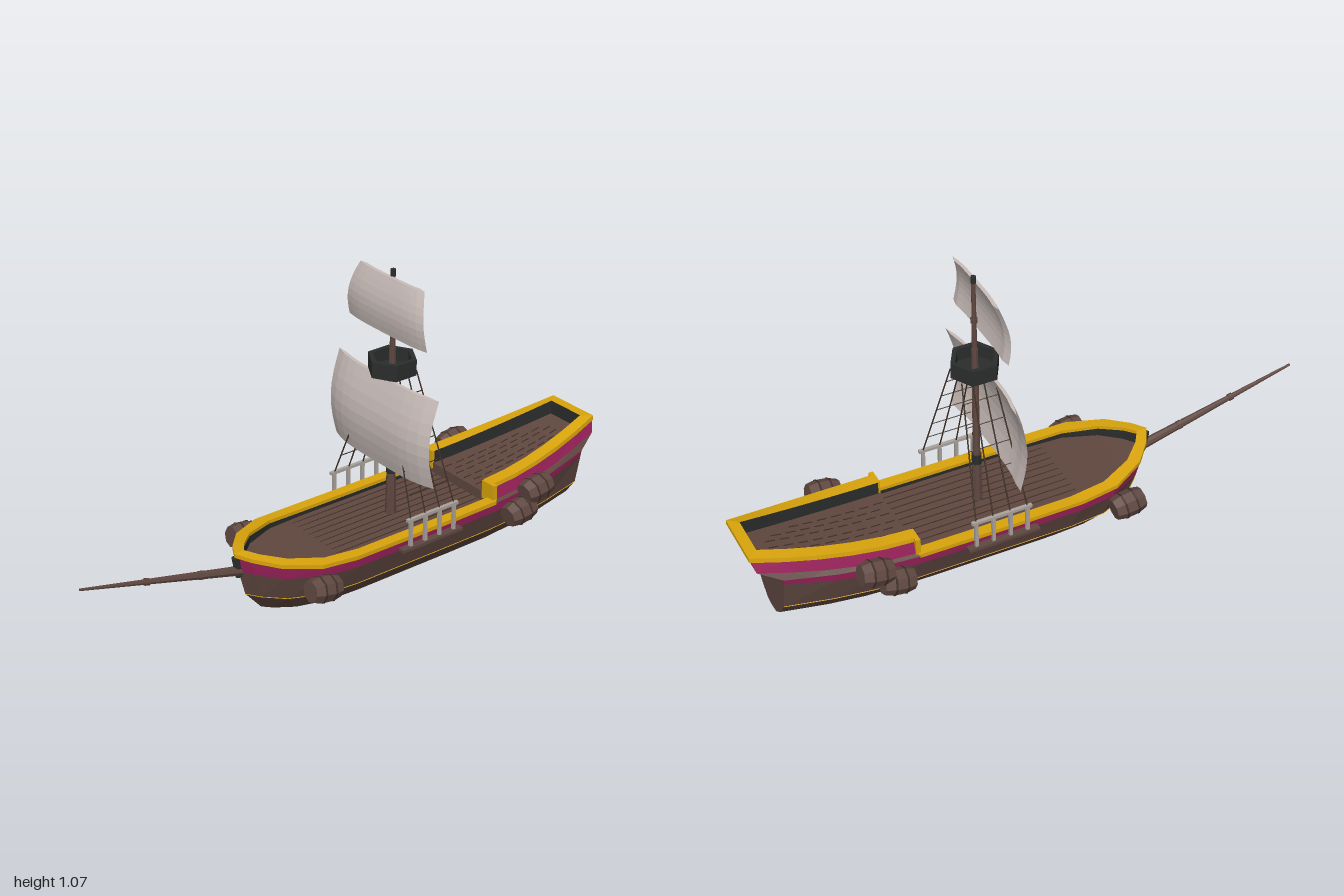
import * as THREE from 'three';

const mat = (name, color) => {
  const m = new THREE.MeshStandardMaterial({ color, flatShading: true, side: THREE.DoubleSide });
  m.name = name;
  return m;
};

export function createModel() {
  const ship = new THREE.Group();
  ship.name = 'sailingShip';
  const wood = mat('hullWood', 0x5f4740), deckWood = mat('deckWood', 0x5f473e), dark = mat('charcoal', 0x2b2d2d);
  const gold = mat('goldTrim', 0xd9a40c), crimson = mat('crimsonBand', 0x99215a), cloth = mat('sailCloth', 0xc9bdb9);
  const pale = mat('paleRail', 0xaaa39e), rope = mat('rope', 0x3b2d22), seam = mat('plankSeam', 0x3f2e29);

  const add = (name, geo, material, x = 0, y = 0, z = 0, parent = ship) => {
    const m = new THREE.Mesh(geo, material);
    m.name = name;
    m.position.set(x, y, z);
    parent.add(m);
    return m;
  };
  const box = (name, material, w, h, d, x, y, z) => add(name, new THREE.BoxGeometry(w, h, d), material, x, y, z);
  const lerp = THREE.MathUtils.lerp;

  // Skin a list of equally long point rows
  const skin = (name, rows, material) => {
    const pos = rows.flat(2), n = rows[0].length, index = [];
    for (let j = 0; j < rows.length - 1; j++) for (let i = 0; i < n - 1; i++) {
      const a = j * n + i, b = a + 1, c = a + n, d = c + 1;
      index.push(a, b, d, a, d, c);
    }
    const g = new THREE.BufferGeometry();
    g.setAttribute('position', new THREE.Float32BufferAttribute(pos, 3));
    g.setIndex(index);
    const flat = g.toNonIndexed();
    flat.computeVertexNormals();
    return add(name, flat, material);
  };
  // Tapered round bar between two points
  const bar = (name, a, b, r0, r1, material, sides = 8) => {
    const p = new THREE.Vector3(...a), q = new THREE.Vector3(...b), d = q.clone().sub(p);
    const m = add(name, new THREE.CylinderGeometry(r1, r0, d.length(), sides), material);
    m.position.copy(p).add(q).multiplyScalar(0.5);
    m.quaternion.setFromUnitVectors(new THREE.Vector3(0, 1, 0), d.normalize());
    return m;
  };
  const mirror = p => [-p[0], p[1], p[2]];
  const loop = pts => [...pts, ...pts.map(mirror).reverse()];

  // Hull plan: share of full breadth along the length, bow (0) to stern (1)
  const plan = [[0, 0], [0.022, 0.27], [0.07, 0.64], [0.155, 0.94], [0.25, 1], [0.4, 1], [0.55, 1], [0.68, 1], [0.78, 0.97], [0.88, 0.89], [1, 0.75]];
  const breadth = s => {
    let i = 1;
    while (i < plan.length - 1 && plan[i][0] < s) i++;
    const [s0, b0] = plan[i - 1], [s1, b1] = plan[i];
    return lerp(b0, b1, (s - s0) / (s1 - s0));
  };
  const level = (y, w, bow, bowRise, sternRise) => ({ y, w, bow, bowRise, sternRise });
  const hullPoint = (L, s) => [L.w * breadth(s),
    L.y + L.bowRise * Math.max(0, 1 - s / 0.3) ** 2 + L.sternRise * Math.max(0, (s - 0.6) / 0.4) ** 2,
    lerp(L.bow, -0.91, s)];
  const side = (L, end = 1) => plan.filter(p => p[0] <= end).map(p => hullPoint(L, p[0]));
  const centre = level(0, 0, 0.2, 0, 0.03), keel = level(0, 0.05, 0.2, 0, 0.035), bilge = level(0.035, 0.108, 0.345, 0, 0.035);
  const water = level(0.1, 0.16, 0.405, 0.005, 0.025), wale = level(0.18, 0.188, 0.43, 0.02, 0.055), sheer = level(0.215, 0.193, 0.44, 0.04, 0.04);
  skin('hull', [centre, keel, bilge, water, wale].map(L => loop(side(L))), wood);
  skin('hullBand', [wale, sheer].map(L => loop(side(L))), crimson);

  // Thin gold seam along the hull
  const line = loop(side({ ...water, w: 0.161 }).reverse());
  for (let i = 0; i < line.length - 1; i++)
    if (Math.abs(line[i][0] - line[i + 1][0]) + Math.abs(line[i][2] - line[i + 1][2]) > 0.001)
      bar('hullSeam', line[i], line[i + 1], 0.0015, 0.0015, gold, 4);

  // Main deck with its gold rim and dark inner bulwark
  const waist = L => loop(side(L, 0.68).reverse());
  const rimInner = level(0.226, 0.158, 0.405, 0.04, 0.04);
  skin('mainRim', [level(0.212, 0.196, 0.443, 0.04, 0.04), level(0.226, 0.196, 0.443, 0.04, 0.04), rimInner, { ...rimInner, y: 0.214 }].map(waist), gold);
  const deckLevel = level(0.2, 0.16, 0.405, 0.015, 0);
  skin('innerBulwark', [{ ...rimInner, y: 0.214 }, deckLevel].map(waist), dark);
  const deckSide = side(deckLevel, 0.68);
  skin('mainDeck', [deckSide, deckSide.map(mirror)], deckWood);
  for (const sx of [-1, 1]) [0.015, 0.045, 0.075, 0.105, 0.135].forEach((x, i) => {
    const front = 0.3 - i * 0.03;
    box('deckSeam', seam, 0.003, 0.002, front + 0.475, sx * x, 0.2005, (front - 0.475) / 2);
  });

  // Raised stern: levels run from the step (0) to the overhanging end (1)
  const steps = [0, 0.2, 0.4, 0.6, 0.8, 1];
  const stern = (w0, w1, y0, y1, end) => steps.map(t => [lerp(w0, w1, t ** 1.7), lerp(y0, y1, t ** 1.7), lerp(-0.478, end, t)]);
  const base = steps.map(t => hullPoint(sheer, 0.68 + 0.32 * t));
  const bandLow = stern(0.182, 0.116, 0.224, 0.292, -0.985), bandTop = stern(0.171, 0.1, 0.268, 0.331, -0.995);
  skin('sternSide', [base, bandLow].map(loop), wood);
  skin('sternBand', [bandLow, bandTop].map(loop), crimson);
  const innerTop = stern(0.127, 0.072, 0.28, 0.345, -0.965), innerLow = stern(0.127, 0.072, 0.235, 0.295, -0.965);
  skin('sternRim', [stern(0.174, 0.102, 0.266, 0.329, -1), stern(0.172, 0.1, 0.28, 0.345, -1), innerTop].map(loop), gold);
  skin('sternBulwark', [innerTop, innerLow].map(loop), dark);
  skin('sternDeck', [innerLow, innerLow.map(mirror)], deckWood);
  box('sternStep', wood, 0.27, 0.036, 0.012, 0, 0.217, -0.48);
  for (const sx of [-1, 1]) {
    box('rimStep', gold, 0.058, 0.066, 0.016, sx * 0.158, 0.247, -0.478);
    for (let k = 0; k < 3; k++) for (let i = 0; i < 9 - k; i++) {
      const t = 0.05 + i * 0.1 + (k % 2) * 0.04;
      const dash = box('sternSeam', seam, 0.003, 0.002, 0.032, sx * (0.02 + k * 0.03) * (1 - 0.25 * t), lerp(0.236, 0.296, t ** 1.7) + 0.001, lerp(-0.478, -0.965, t));
      dash.rotation.x = 0.2 * t ** 0.7;
    }
  }

  // Mast and bowsprit
  const mz = -0.185;
  bar('mastFoot', [0, 0.2, mz], [0, 0.36, mz], 0.019, 0.015, wood);
  bar('mast', [0, 0.36, mz], [0, 0.8, mz], 0.013, 0.011, wood);
  bar('topMast', [0, 0.8, mz], [0, 1.05, mz], 0.009, 0.007, wood);
  bar('mastCollar', [0, 0.35, mz], [0, 0.386, mz], 0.017, 0.017, dark);
  bar('topCollar', [0, 0.9, mz], [0, 0.915, mz], 0.012, 0.012, wood);
  bar('mastCap', [0, 1.045, mz], [0, 1.068, mz], 0.009, 0.009, dark);
  const sprit = t => [0, lerp(0.192, 0.344, t), lerp(0.4, 0.999, t)];
  bar('bowsprit', sprit(0), sprit(1), 0.017, 0.004, wood);
  for (const t of [0.27, 0.6]) bar('bowspritCollar', sprit(t), sprit(t + 0.025), 0.017 - t * 0.008, 0.017 - t * 0.008, wood);
  bar('stem', [0, 0.18, 0.428], [0, 0.25, 0.438], 0.012, 0.015, dark, 6);

  // Six-sided lookout with an open top
  const nest = [[0, 0.715], [0.083, 0.715], [0.083, 0.77], [0.066, 0.77], [0.066, 0.727], [0, 0.727]];
  add('lookout', new THREE.LatheGeometry(nest.map(p => new THREE.Vector2(...p)), 6), dark, 0, 0, mz);

  // Billowed sails with a little thickness; v runs from bottom (0) to top (1)
  const sail = (name, y0, y1, halfWidth, depth) => {
    const N = 12, M = 8;
    const row = (v, thick) => Array.from({ length: N + 1 }, (_, i) => {
      const u = i / N * 2 - 1;
      return [u * halfWidth(v), lerp(y0, y1, v), depth(u, v) - (Math.abs(u) < 1 ? thick : 0)];
    });
    const vs = Array.from({ length: M + 1 }, (_, j) => j / M);
    skin(name, [...vs.map(v => row(v, 0)), ...vs.reverse().map(v => row(v, 0.012)), row(0, 0)], cloth);
  };
  sail('mainSail', 0.406, 0.71, () => 0.253,
    (u, v) => -0.14 + 0.014 * (1 - v) + 0.03 * Math.sin(Math.PI * v) - 0.028 * u ** 4);
  sail('topSail', 0.857, 1.045, v => 0.195 - 0.036 * v ** 2.2,
    (u, v) => -0.168 + 0.016 * (1 - v) + 0.018 * Math.sin(Math.PI * v) - 0.012 * u ** 4);

  // Side rails, shrouds and ratlines
  for (const sx of [-1, 1]) {
    box('chainShelf', wood, 0.028, 0.01, 0.25, sx * 0.202, 0.188, -0.19);
    box('sideRail', pale, 0.012, 0.01, 0.21, sx * 0.202, 0.288, -0.195);
    const foot = i => [sx * 0.2, 0.29, -0.105 - i * 0.06], head = i => [sx * 0.042, 0.716, -0.142 - i * 0.036];
    const at = (i, t) => foot(i).map((c, k) => lerp(c, head(i)[k], t));
    for (let i = 0; i < 4; i++) {
      box('railPost', pale, 0.011, 0.1, 0.011, sx * 0.202, 0.24, -0.105 - i * 0.06);
      bar('shroud', foot(i), head(i), 0.0025, 0.0025, rope, 5);
    }
    for (const t of [0.17, 0.34, 0.51, 0.68, 0.85]) bar('ratline', at(0, t), at(3, t), 0.002, 0.002, rope, 4);
  }

  // Barrels hung along the sides
  const profile = [[0, -0.053], [0.036, -0.053], [0.044, -0.022], [0.044, 0.022], [0.036, 0.053], [0, 0.053]];
  const barrelGeo = new THREE.LatheGeometry(profile.map(p => new THREE.Vector2(...p)), 8);
  const hoopGeo = new THREE.CylinderGeometry(0.0455, 0.0455, 0.007, 8, 1, true);
  for (const sx of [-1, 1]) for (const [y, z, tilt] of [[0.172, 0.255, -0.15], [0.17, -0.565, 0.15], [0.233, -0.635, 0.15]]) {
    const barrel = new THREE.Group();
    barrel.name = 'barrel';
    barrel.position.set(sx * 0.215, y, z);
    barrel.rotation.x = Math.PI / 2 + tilt;
    add('barrelBody', barrelGeo, wood, 0, 0, 0, barrel);
    for (const h of [-0.02, 0.02]) add('barrelHoop', hoopGeo, seam, 0, h, 0, barrel);
    ship.add(barrel);
  }
  return ship;
}
